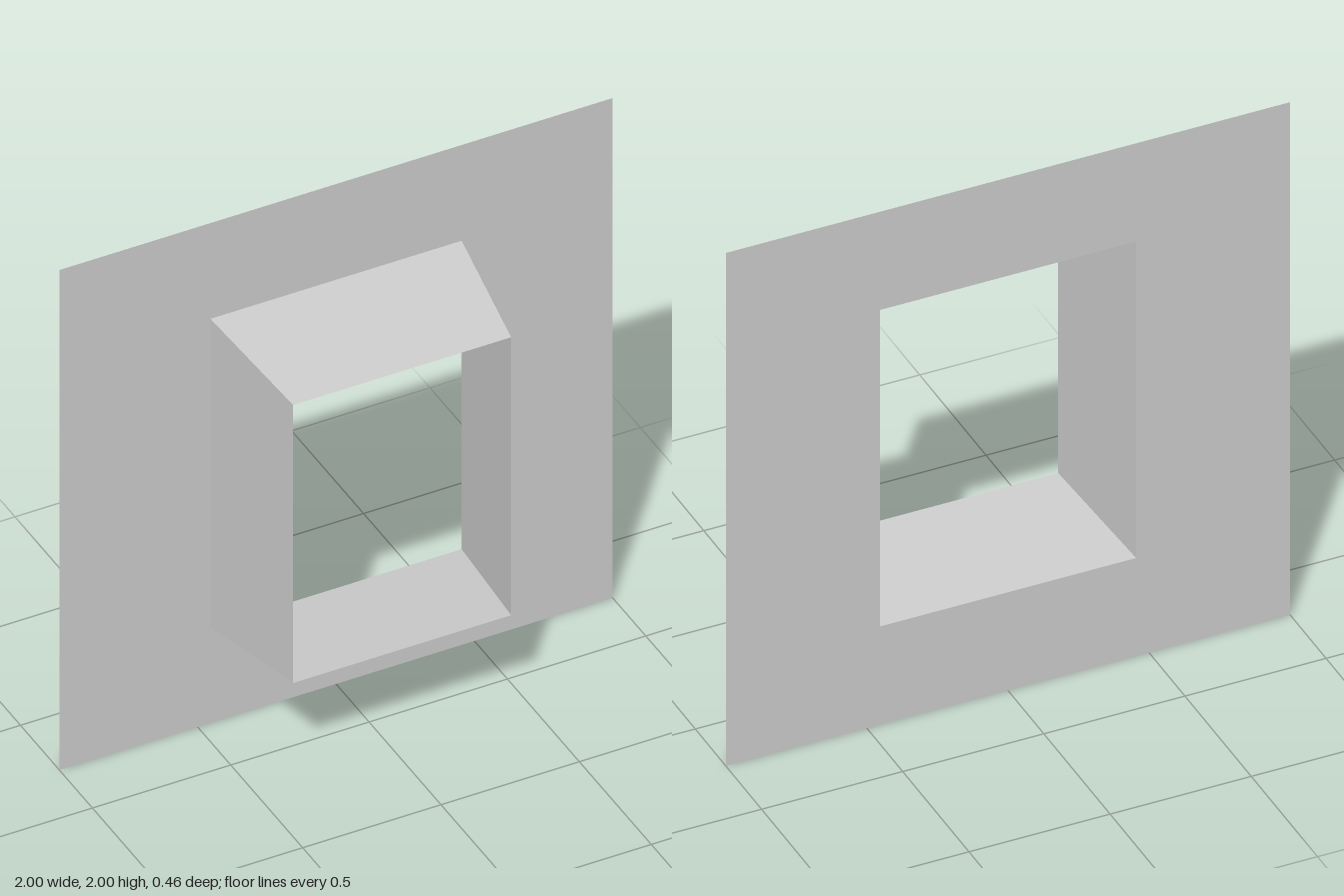
import * as THREE from 'three';

const BACK = -0.23, FRONT = 0.23, MID = 1;

// Corners of a rectangle centred on the opening, counter-clockwise from the front
const corners = (halfW, halfH, z) =>
  [[-1, -1], [1, -1], [1, 1], [-1, 1]].map(([sx, sy]) => [sx * halfW, MID + sy * halfH, z]);

// Four flat walls joining two rectangles, facing outwards
function sleeveGeometry(back, front) {
  const positions = [];
  for (let i = 0; i < 4; i++) {
    const j = (i + 1) % 4;
    positions.push(...back[i], ...back[j], ...front[j], ...back[i], ...front[j], ...front[i]);
  }
  const geometry = new THREE.BufferGeometry();
  geometry.setAttribute('position', new THREE.Float32BufferAttribute(positions, 3));
  geometry.computeVertexNormals();
  return geometry;
}

export function createModel() {
  const group = new THREE.Group();
  group.name = 'wallOpening';
  const grey = new THREE.MeshStandardMaterial({ color: 0xcccccc, side: THREE.DoubleSide });
  grey.name = 'light grey';

  const back = corners(0.454, 0.617, BACK);
  const front = corners(0.394, 0.556, FRONT);

  // Thin square wall with a rectangular hole
  const outline = new THREE.Shape(corners(1, 1, 0).map(([x, y]) => new THREE.Vector2(x, y)));
  outline.holes.push(new THREE.Path(back.map(([x, y]) => new THREE.Vector2(x, y)).reverse()));
  const wall = new THREE.Mesh(new THREE.ShapeGeometry(outline), grey);
  wall.name = 'wallPanel';
  wall.position.z = BACK;

  // Tapered open sleeve projecting forward from the hole
  const sleeve = new THREE.Mesh(sleeveGeometry(back, front), grey);
  sleeve.name = 'taperedSleeve';

  group.add(wall, sleeve);
  return group;
}
